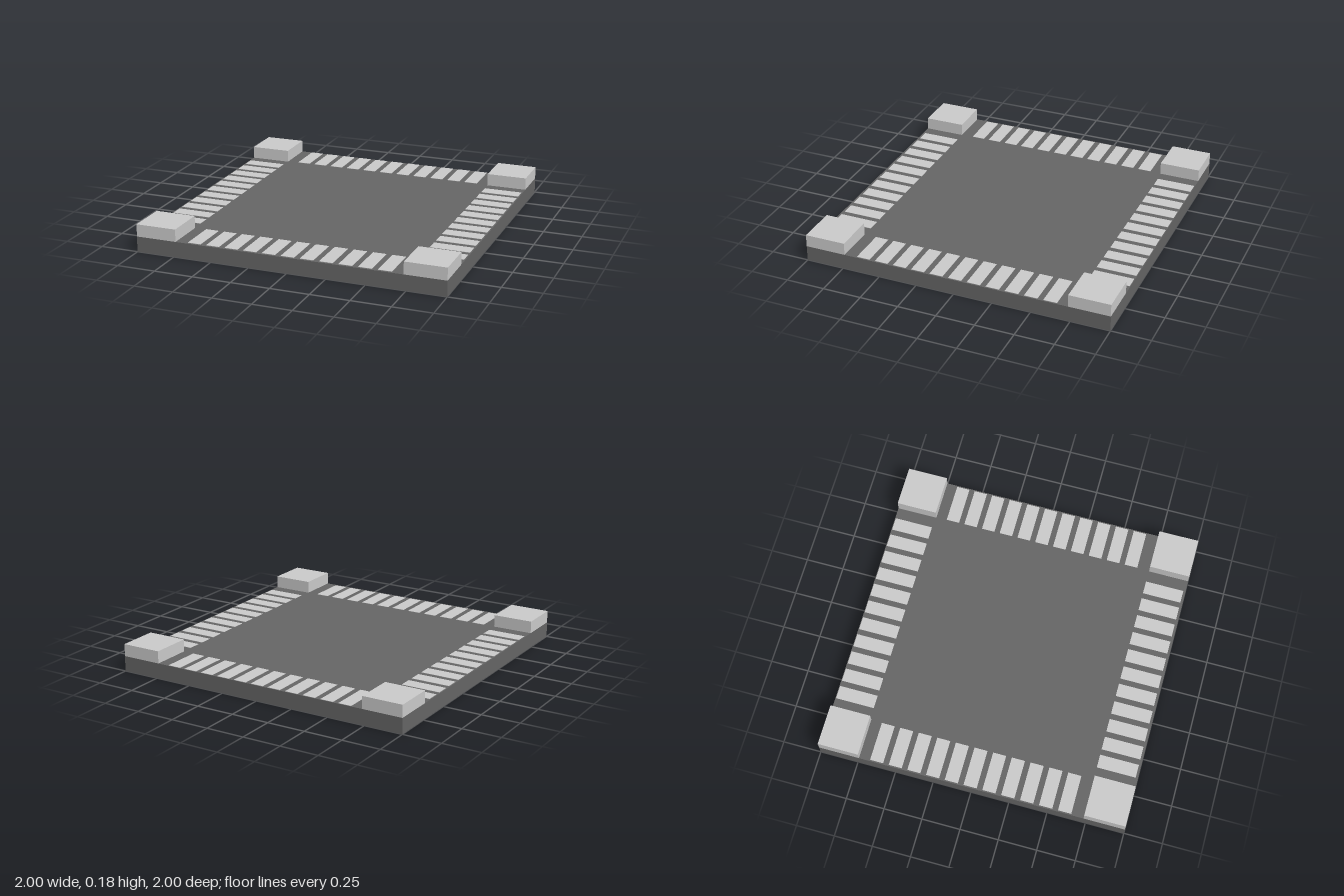
import * as THREE from 'three';

export function createModel() {
  const model = new THREE.Group();
  const light = new THREE.MeshStandardMaterial({ color: 0xcccccc, flatShading: true });
  const dark = new THREE.MeshStandardMaterial({ color: 0x666666, flatShading: true, side: THREE.DoubleSide });

  const TOP = 0.1;    // height of the tray's upper sheet
  const SINK = 0.003; // how far pads and posts reach through the sheet

  function add(parent, name, geometry, material, x, y, z) {
    const mesh = new THREE.Mesh(geometry, material);
    mesh.name = name;
    mesh.position.set(x, y, z);
    parent.add(mesh);
  }

  // Tray: a thin-walled box, open underneath (the fourth face of the box is dropped)
  const shell = new THREE.BoxGeometry(2, TOP, 2);
  const index = Array.from(shell.index.array);
  index.splice(18, 6);
  shell.setIndex(index);
  shell.clearGroups();
  add(model, 'baseTray', shell, dark, 0, TOP / 2, 0);

  // Raised square blocks on the four corners
  const blockSize = 0.265, blockTop = 0.18;
  const blockHeight = blockTop - TOP + SINK;
  const block = new THREE.BoxGeometry(blockSize, blockHeight, blockSize);
  const blockAt = 0.9995 - blockSize / 2;
  for (const sx of [-1, 1]) {
    for (const sz of [-1, 1]) {
      add(model, 'cornerBlock', block, light, sx * blockAt, blockTop - blockHeight / 2, sz * blockAt);
    }
  }

  // Rows of eleven flat pads along each edge
  const count = 11, pitch = 0.123, padWidth = 0.086, padLength = 0.253, padHeight = 0.005;
  const padAcross = new THREE.BoxGeometry(padWidth, padHeight, padLength);
  const padAlong = new THREE.BoxGeometry(padLength, padHeight, padWidth);
  const pads = new THREE.Group();
  pads.name = 'edgePads';
  pads.position.set(0, TOP - SINK + padHeight / 2, -0.005);
  for (const side of [-1, 1]) {
    for (let i = 0; i < count; i++) {
      const t = (i - (count - 1) / 2) * pitch;
      add(pads, side > 0 ? 'frontPad' : 'backPad', padAcross, light, t, 0, side * 0.864);
      add(pads, side > 0 ? 'leftPad' : 'rightPad', padAlong, light, side * 0.865, 0, t);
    }
  }
  model.add(pads);

  return model;
}
